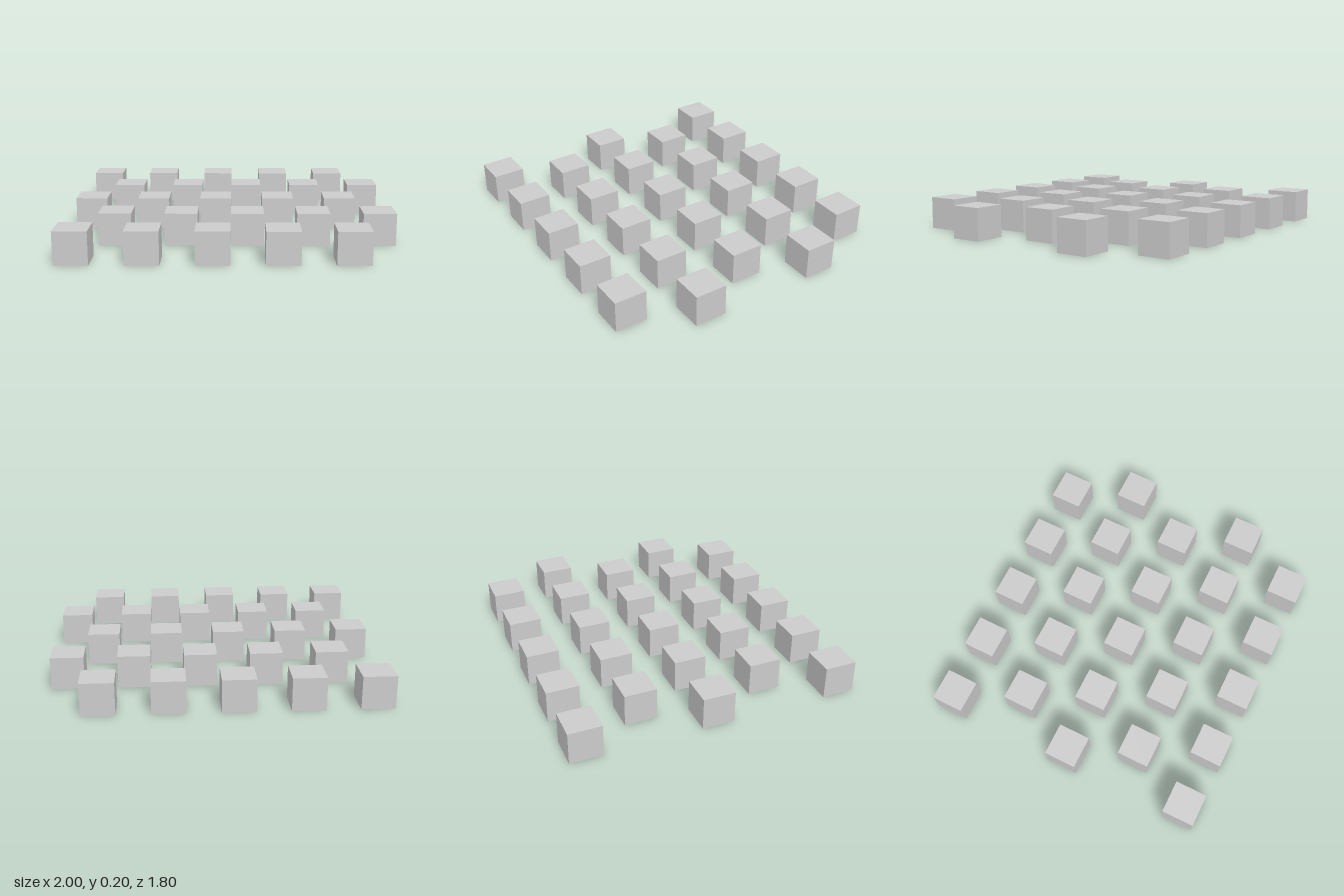
import * as THREE from 'three';

const SIZE = 0.2; // cube edge
const PITCH = 0.4; // spacing along a row and between rows
const COUNT = 5; // rows, and cubes per row

export function createModel() {
  const model = new THREE.Group();
  model.name = 'staggeredCubes';
  const material = new THREE.MeshStandardMaterial({ color: 0xcccccc, flatShading: true });
  const geometry = new THREE.BoxGeometry(SIZE, SIZE, SIZE);

  // Five rows from back to front; every second row shifts by one cube width
  for (let r = 0; r < COUNT; r++) {
    const row = new THREE.Group();
    row.name = `row${r + 1}`;
    row.position.set(r % 2 ? SIZE / 2 : -SIZE / 2, SIZE / 2, (r - (COUNT - 1) / 2) * PITCH);
    for (let c = 0; c < COUNT; c++) {
      const cube = new THREE.Mesh(geometry, material);
      cube.name = `cube${c + 1}`;
      cube.position.x = (c - (COUNT - 1) / 2) * PITCH;
      row.add(cube);
    }
    model.add(row);
  }
  return model;
}
